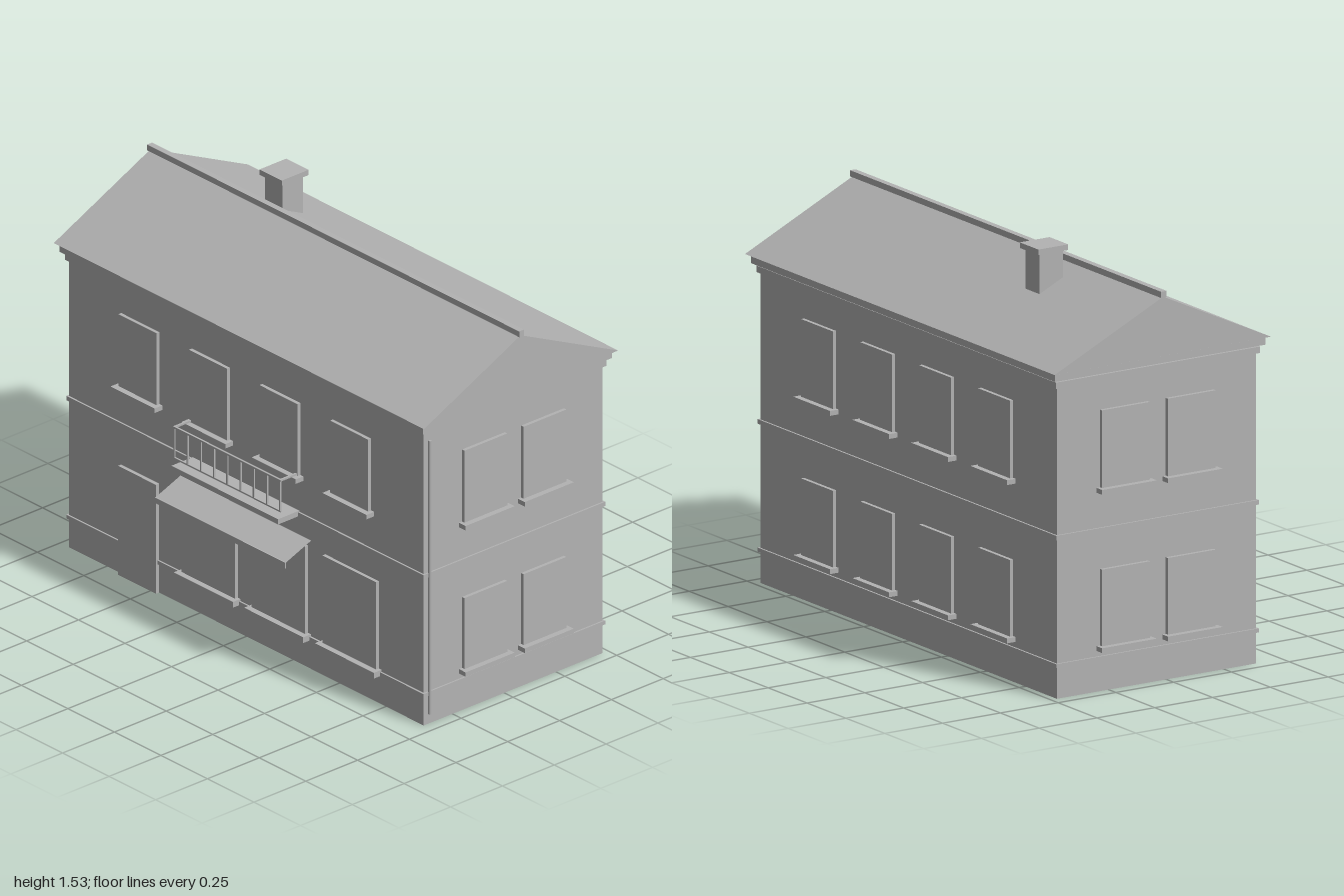
import * as THREE from 'three';

export function createModel() {
  const house = new THREE.Group();
  house.name = 'townHouse';
  const grey = new THREE.MeshStandardMaterial({ color: 0xb3b3b3 });
  grey.name = 'plainGrey';
  const greySheet = new THREE.MeshStandardMaterial({ color: 0xb3b3b3, side: THREE.DoubleSide });
  greySheet.name = 'plainGreySheet';

  // Box given by its extents on each axis
  function box(name, x0, x1, y0, y1, z0, z1, parent = house) {
    const mesh = new THREE.Mesh(new THREE.BoxGeometry(x1 - x0, y1 - y0, z1 - z0), grey);
    mesh.position.set((x0 + x1) / 2, (y0 + y1) / 2, (z0 + z1) / 2);
    mesh.name = name;
    parent.add(mesh);
    return mesh;
  }

  // Walls and the mouldings that wrap around them
  const X = 0.953, ZF = 0.389, ZB = -0.474;
  const ring = (name, out, y0, y1) => box(name, -X - out, X + out, y0, y1, ZB - out, ZF + out);
  ring('walls', 0, 0, 1.2);
  ring('plinthBand', 0.007, 0.116, 0.131);
  ring('floorBand', 0.007, 0.592, 0.609);
  ring('lowerCornice', 0.01, 1.156, 1.18);
  ring('upperCornice', 0.024, 1.188, 1.214);

  // Gable roof, ridge cap and chimney
  const gable = new THREE.Shape([
    new THREE.Vector2(-0.425, 1.22),
    new THREE.Vector2(0.512, 1.22),
    new THREE.Vector2(0.042, 1.44),
  ]);
  const roofGeometry = new THREE.ExtrudeGeometry(gable, { depth: 1.99, bevelEnabled: false });
  roofGeometry.translate(0, 0, -0.995).rotateY(Math.PI / 2);
  const roof = new THREE.Mesh(roofGeometry, grey);
  roof.name = 'roof';
  house.add(roof);
  box('ridgeCap', -1, 1, 1.438, 1.461, -0.054, -0.03);
  box('chimney', -0.465, -0.373, 1.3, 1.51, -0.22, -0.119);
  box('chimneyCap', -0.483, -0.363, 1.508, 1.529, -0.237, -0.108);

  // Window pane with a sill, built facing +z and turned onto its wall
  function addWindow(x, z, turn, width, y0, y1, sillOver, sillHeight) {
    const win = new THREE.Group();
    win.name = 'window';
    box('pane', -width / 2, width / 2, y0, y1, -0.01, 0.014, win);
    const s = width / 2 + sillOver;
    box('sill', -s, s, y0 - sillHeight, y0, -0.01, 0.037, win);
    win.position.set(x, 0, z);
    win.rotation.y = turn;
    house.add(win);
  }
  const rows = [[0.17, 0.455], [0.759, 1.048]];
  const columns = [-0.57, -0.19, 0.188, 0.568];
  for (const x of columns) {
    addWindow(x, ZF, 0, 0.205, ...rows[1], 0.016, 0.018);
    for (const row of rows) addWindow(x, ZB, Math.PI, 0.205, ...row, 0.016, 0.018);
  }
  for (const z of [0.101, -0.184])
    for (const row of rows)
      for (const side of [-1, 1])
        addWindow(side * X, z, side * Math.PI / 2, 0.207, ...row, 0.015, 0.018);

  // Shop windows and door on the ground floor
  for (const x of columns.slice(1)) addWindow(x, ZF, 0, 0.288, 0.139, 0.49, 0.015, 0.023);
  box('door', -0.673, -0.469, 0, 0.438, ZF - 0.01, 0.404);

  // Sloping awning sheet with a hanging valance
  const drop = 0.048, reach = 0.123;
  const awning = new THREE.Mesh(new THREE.PlaneGeometry(0.7, Math.hypot(drop, reach)), greySheet);
  awning.name = 'awning';
  awning.position.set(-0.002, 0.516 - drop / 2, ZF + reach / 2);
  awning.rotation.x = -Math.atan2(reach, drop);
  house.add(awning);
  box('awningValance', -0.352, 0.348, 0.446, 0.469, 0.509, 0.514);

  // Balcony slab and railing
  box('balconySlab', -0.288, 0.285, 0.592, 0.613, ZF, 0.492);
  const railing = new THREE.Group();
  railing.name = 'balconyRailing';
  house.add(railing);
  box('topRail', -0.29, 0.287, 0.761, 0.768, 0.475, 0.483, railing);
  box('bottomRail', -0.29, 0.287, 0.638, 0.644, 0.476, 0.482, railing);
  for (let i = 0; i < 9; i++) {
    const x = -0.286 + i * 0.0711;
    box('baluster', x - 0.003, x + 0.003, 0.64, 0.765, 0.476, 0.482, railing);
  }
  for (const x of [-0.286, 0.283])
    box('sideRail', x - 0.004, x + 0.004, 0.761, 0.768, ZF, 0.48, railing);

  // Drainpipe by the front corner
  const pipe = new THREE.Mesh(new THREE.CylinderGeometry(0.006, 0.006, 1.1, 8), grey);
  pipe.name = 'drainpipe';
  pipe.position.set(0.962, 0.592, 0.367);
  house.add(pipe);

  return house;
}
